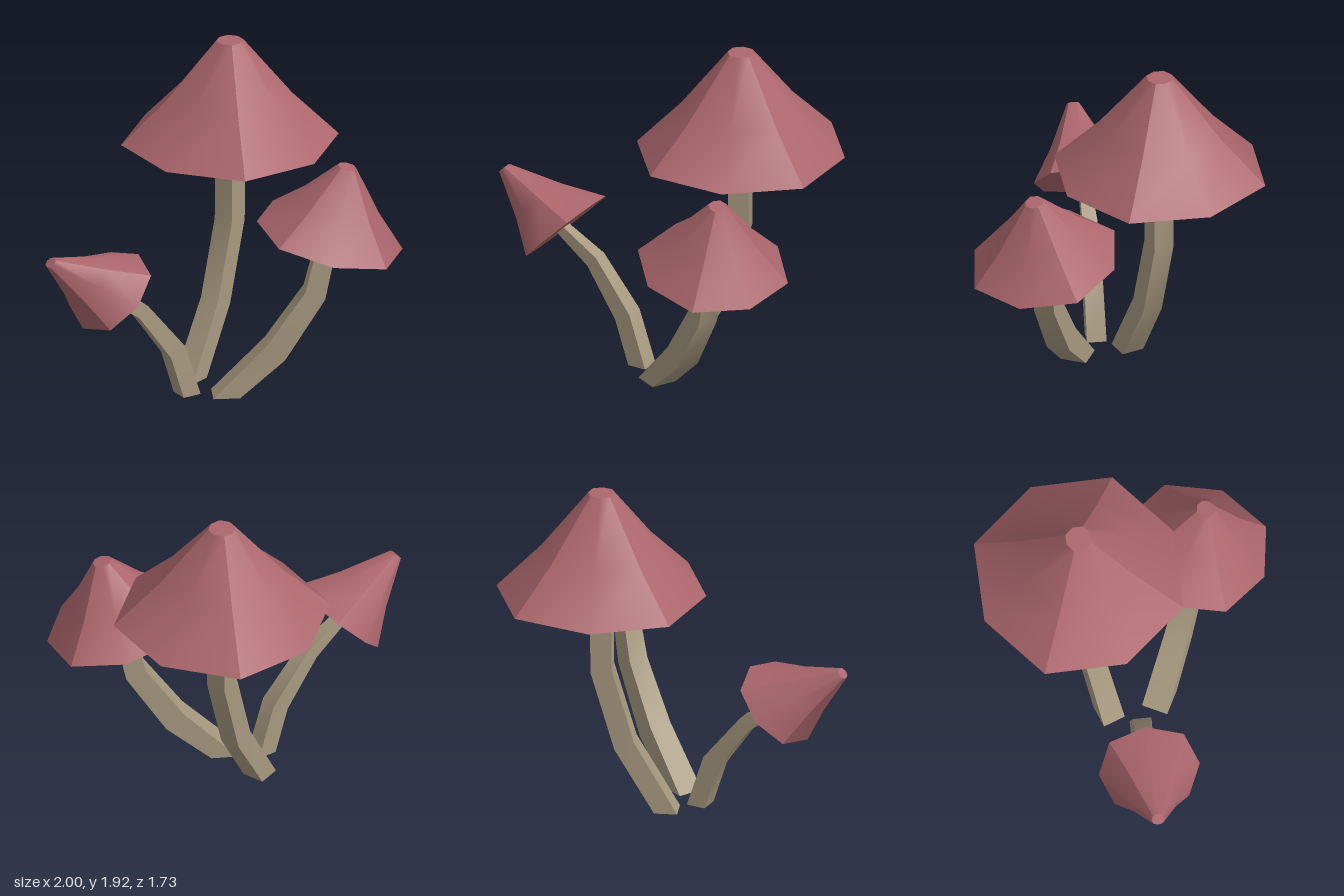
import * as THREE from 'three';

const v = (x, y, z) => new THREE.Vector3(x, y, z);

// Joins grids of points (rows of equal length) into one geometry.
// Normals are smooth inside a grid and sharp between grids.
function patches(grids) {
  const pos = [], index = [];
  for (const grid of grids) {
    const base = pos.length / 3, n = grid[0].length;
    grid.forEach(row => row.forEach(p => pos.push(p.x, p.y, p.z)));
    for (let r = 0; r < grid.length - 1; r++) {
      for (let c = 0; c < n - 1; c++) {
        const a = base + r * n + c;
        index.push(a, a + 1, a + n + 1, a, a + n + 1, a + n);
      }
    }
  }
  const g = new THREE.BufferGeometry();
  g.setAttribute('position', new THREE.Float32BufferAttribute(pos, 3));
  g.setIndex(index);
  g.computeVertexNormals();
  return g;
}

// Eight-sided cap: centre of the rim, two rim axes and the vector to the top
function capGeometry(centre, U, V, W) {
  const point = (k, radius, height) => {
    const a = k * Math.PI / 4, r = radius * (k % 2 ? 1.04 : 1);
    return centre.clone().addScaledVector(U, r * Math.cos(a))
      .addScaledVector(V, r * Math.sin(a)).addScaledVector(W, height);
  };
  const profile = [[1, 0], [0.57, 0.44], [0.127, 1]];
  const ring = [0, 1, 2, 3, 4, 5, 6, 7, 8];
  const grids = [];
  // four sectors, each smooth across its middle corner
  for (let k = 1; k < 9; k += 2) {
    grids.push(profile.map(([r, h]) => [k, k + 1, k + 2].map(i => point(i, r, h))));
  }
  // flat top and underside
  grids.push([ring.map(k => point(k, 0.127, 1)), ring.map(() => point(0, 0, 1))]);
  grids.push([ring.map(() => point(0, 0, 0)), ring.map(k => point(k, 1, 0))]);
  return patches(grids);
}

// Square stem bending within one vertical plane; halves = half widths per point
function stemGeometry(path, halves) {
  const last = path.length - 1;
  const h = path[last].clone().sub(path[0]).setY(0).normalize();
  const s = h.clone().cross(v(0, 1, 0));
  const dir = i => path[i + 1].clone().sub(path[i]).normalize();
  const rings = path.map((p, i) => {
    const t = i === 0 ? v(0, 1, 0)
      : i === last ? dir(i - 1) : dir(i - 1).add(dir(i)).normalize();
    const u = h.clone().multiplyScalar(t.y).add(v(0, -t.dot(h), 0));
    return [[1, 1], [-1, 1], [-1, -1], [1, -1]].map(([a, b]) =>
      p.clone().addScaledVector(s, a * halves[i]).addScaledVector(u, b * halves[i]));
  });
  const grids = [0, 1, 2, 3].map(k => rings.map(r => [r[k], r[(k + 1) % 4]]));
  const [b, e] = [rings[0], rings[last]];
  grids.push([[b[1], b[0]], [b[2], b[3]]], [[e[0], e[1]], [e[3], e[2]]]);
  return patches(grids);
}

export function createModel() {
  const capRed = new THREE.MeshStandardMaterial({ color: 0xab666c });
  capRed.name = 'dusty red';
  const stemTan = new THREE.MeshStandardMaterial({ color: 0xa7997f });
  stemTan.name = 'stem tan';

  const mushrooms = [
    {
      name: 'tallMushroom',
      cap: [v(0.405, 1.325, -0.28), v(0, 0, 0.59), v(0.59, 0, 0), v(0, 0.6, 0)],
      path: [v(0.037, 0, -0.277), v(0.27, 0.4, -0.277), v(0.4, 0.85, -0.277), v(0.405, 1.35, -0.277)],
      halves: [0.065, 0.06, 0.06, 0.06],
    },
    {
      name: 'frontMushroom',
      cap: [v(0.378, 0.937, 0.438), v(-0.319, -0.024, 0.27), v(0.267, -0.095, 0.308), v(0.045, 0.42, 0.09)],
      path: [v(-0.018, 0, 0.01), v(0.165, 0.262, 0.215), v(0.31, 0.6, 0.383), v(0.37, 0.96, 0.44)],
      halves: [0.075, 0.068, 0.06, 0.052],
    },
    {
      name: 'smallMushroom',
      cap: [v(-0.602, 0.725, -0.353), v(-0.1, 0.005, 0.266), v(0.17, 0.185, 0.065), v(-0.375, 0.265, -0.137)],
      path: [v(-0.137, 0, -0.17), v(-0.225, 0.287, -0.2), v(-0.42, 0.568, -0.285), v(-0.62, 0.71, -0.36)],
      halves: [0.055, 0.053, 0.042, 0.03],
    },
  ];

  const model = new THREE.Group();
  model.name = 'mushroomCluster';
  for (const m of mushrooms) {
    const group = new THREE.Group();
    group.name = m.name;
    const cap = new THREE.Mesh(capGeometry(...m.cap), capRed);
    cap.name = 'cap';
    const stem = new THREE.Mesh(stemGeometry(m.path, m.halves), stemTan);
    stem.name = 'stem';
    group.add(cap, stem);
    model.add(group);
  }
  return model;
}
